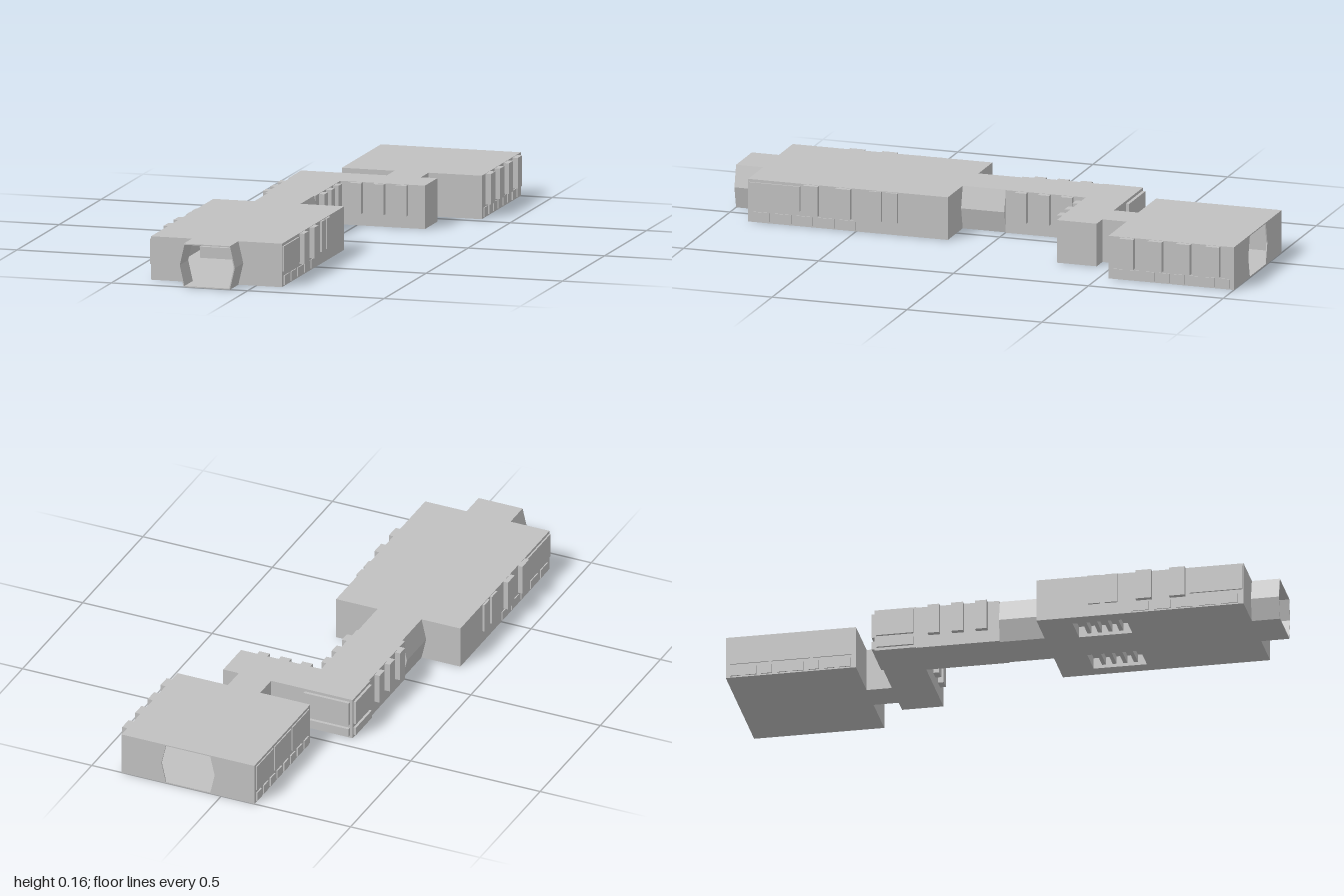
import * as THREE from 'three';

const H = 0.155;   // overall height
const T = 0.004;   // shell thickness
const RIB = 0.045; // underside of the wall ribs

export function createModel() {
  const model = new THREE.Group();
  const gray = new THREE.MeshStandardMaterial({ color: 0xc0c0c0, flatShading: true });
  gray.name = 'plain gray';

  const add = (name, geometry) => {
    const mesh = new THREE.Mesh(geometry, gray);
    mesh.name = name;
    model.add(mesh);
    return mesh;
  };
  // Box given by its limits on each axis
  const block = (name, x0, x1, y0, y1, z0, z1) => {
    const g = new THREE.BoxGeometry(x1 - x0, y1 - y0, z1 - z0);
    g.translate((x0 + x1) / 2, (y0 + y1) / 2, (z0 + z1) / 2);
    return add(name, g);
  };
  const shape = (pts) => new THREE.Shape(pts.map(([x, y]) => new THREE.Vector2(x, y)));
  const prism = (name, outline, z0, z1) => {
    const g = new THREE.ExtrudeGeometry(outline, { depth: z1 - z0, bevelEnabled: false });
    g.translate(0, 0, z0);
    return add(name, g);
  };
  // Hexagonal passage edge: side is -1 or 1
  const hexEdge = (cx, side, inset = 0) => [
    [cx + side * (0.085 - inset), 0],
    [cx + side * (0.103 - inset), H / 2],
    [cx + side * (0.085 - inset), H],
  ];
  const hexShape = (cx) => shape([...hexEdge(cx, 1), ...hexEdge(cx, -1).reverse()]);
  // End wall leaving a hexagonal doorway
  const doorWall = (name, x0, x1, cx, z0) => {
    prism(name, shape([[x0, 0], ...hexEdge(cx, -1), [x0, H]]), z0, z0 + T);
    prism(name, shape([...hexEdge(cx, 1), [x1, H], [x1, 0]]), z0, z0 + T);
  };

  // Front room: hollow shell with vent pits in the floor
  const [fx0, fx1, fz0, fz1] = [-0.385, 0.095, 0.16, 0.9];
  const fc = (fx0 + fx1) / 2;
  const floor = shape([[fx0, -fz1], [fx1, -fz1], [fx1, -fz0], [fx0, -fz0]]);
  for (const s of [-1, 1]) {
    const a = fc + s * 0.075, b = fc + s * 0.19;
    floor.holes.push(new THREE.Path([[a, -0.28], [b, -0.28], [b, -0.47], [a, -0.47]]
      .map(([x, y]) => new THREE.Vector2(x, y))));
    const x0 = Math.min(a, b), x1 = Math.max(a, b);
    block('ventTop', x0 - T, x1 + T, 0.04, 0.044, 0.28 - T, 0.47 + T);
    for (const z of [0.28 - T, 0.47]) block('ventSide', x0, x1, T, 0.04, z, z + T);
    for (const x of [x0 - T, x1]) block('ventSide', x, x + T, T, 0.04, 0.28, 0.47);
    for (let i = 0; i < 4; i++) {
      const z = 0.31 + i * 0.038;
      block('ventSlat', x0, x1, 0.012, 0.04, z, z + 0.014);
    }
  }
  const floorGeo = new THREE.ExtrudeGeometry(floor, { depth: T, bevelEnabled: false });
  add('frontRoomFloor', floorGeo.rotateX(-Math.PI / 2));
  block('frontRoomRoof', fx0, fx1, H - T, H, fz0, fz1);
  block('frontRoomWall', fx0, fx0 + T, 0, H, fz0, fz1);
  block('frontRoomWall', fx1 - T, fx1, 0, H, fz0, fz1);
  block('frontRoomBackWall', fx0, fx1, 0, H, fz0, fz0 + T);
  doorWall('frontRoomDoorWall', fx0, fx1, -0.15, fz1 - T);

  // Side details of the front room, mirrored: [z0, z1, outward depth, y0, y1]
  const details = [
    [0.345, 0.388, 0.008, RIB, H - 0.002],
    [0.405, 0.45, 0.008, RIB, H - 0.002],
    [0.517, 0.573, 0.018, RIB, H - 0.001],
    [0.637, 0.693, 0.018, RIB, H - 0.001],
    [0.707, 0.896, 0.006, 0.055, 0.145],
  ];
  for (const [z0, z1, d, y0, y1] of details) {
    block('frontRoomRib', fx1, fx1 + d, y0, y1, z0, z1);
    block('frontRoomRib', fx0 - d, fx0, y0, y1, z0, z1);
  }
  for (let i = 0; i < 5; i++) {
    const z = 0.5 + i * 0.08;
    block('frontRoomFoot', fx1, fx1 + 0.004, 0.005, 0.038, z, z + 0.06);
    block('frontRoomFoot', fx0 - 0.004, fx0, 0.005, 0.038, z, z + 0.06);
  }

  // Open hexagonal entrance at the front
  for (const s of [-1, 1]) {
    const wall = [...hexEdge(-0.15, s), ...hexEdge(-0.15, s, T).reverse()];
    prism('entranceSide', shape(wall), fz1, 1);
  }
  block('entranceFloor', -0.235, -0.065, 0, T, fz1, 1);
  block('entranceRoof', -0.235, -0.065, H - T, H, fz1, 1);

  // Passages between the rooms
  prism('hexPassage', hexShape(-0.15), 0, fz0);
  block('longCorridor', -0.245, -0.06, 0, H, -0.3, 0);
  block('crossCorridor', -0.25, 0.25, 0, H, -0.445, -0.297);
  block('neck', 0.065, 0.19, 0, H, -0.54, -0.44);
  for (const z of [-0.232, -0.147, -0.062]) {
    block('corridorRib', -0.06, -0.04, RIB, H - 0.001, z - 0.021, z + 0.021);
    block('corridorRib', -0.265, -0.245, RIB, H - 0.001, z - 0.021, z + 0.021);
  }
  for (const x of [0.002, 0.085, 0.168]) {
    block('corridorRib', x - 0.02, x + 0.02, RIB, H - 0.001, -0.297, -0.276);
  }

  // Raised bands around the corridor corner
  for (const [y0, y1] of [[0.01, 0.04], [0.055, 0.145]]) {
    block('cornerBand', -0.24, -0.065, y0, y1, -0.457, -0.445);
    block('cornerBand', -0.259, -0.25, y0, y1, -0.437, -0.305);
  }

  // Back room: hollow shell with a doorway in the rear wall
  const [bx0, bx1, bz0, bz1] = [-0.128, 0.385, -1, -0.535];
  block('backRoomFloor', bx0, bx1, 0, T, bz0, bz1);
  block('backRoomRoof', bx0, bx1, H - T, H, bz0, bz1);
  block('backRoomWall', bx0, bx0 + T, 0, H, bz0, bz1);
  block('backRoomWall', bx1 - T, bx1, 0, H, bz0, bz1);
  block('backRoomFrontWall', bx0, bx1, 0, H, bz1 - T, bz1);
  doorWall('backRoomDoorWall', bx0, bx1, 0.128, bz0);
  for (const z of [-0.925, -0.817, -0.713, -0.607]) {
    block('backRoomRib', bx1, bx1 + 0.02, RIB, H - 0.001, z - 0.026, z + 0.026);
  }
  for (let i = 0; i < 3; i++) {
    const z = -0.985 + i * 0.148;
    block('backRoomPanel', bx0 - 0.004, bx0, 0.05, 0.145, z, z + 0.138);
  }
  for (let i = 0; i < 8; i++) {
    const z = -0.985 + i * 0.056;
    block('backRoomFoot', bx0 - 0.005, bx0, 0.005, 0.038, z, z + 0.038);
    block('backRoomFoot', bx1, bx1 + 0.004, 0.005, 0.038, z, z + 0.038);
  }
  return model;
}
